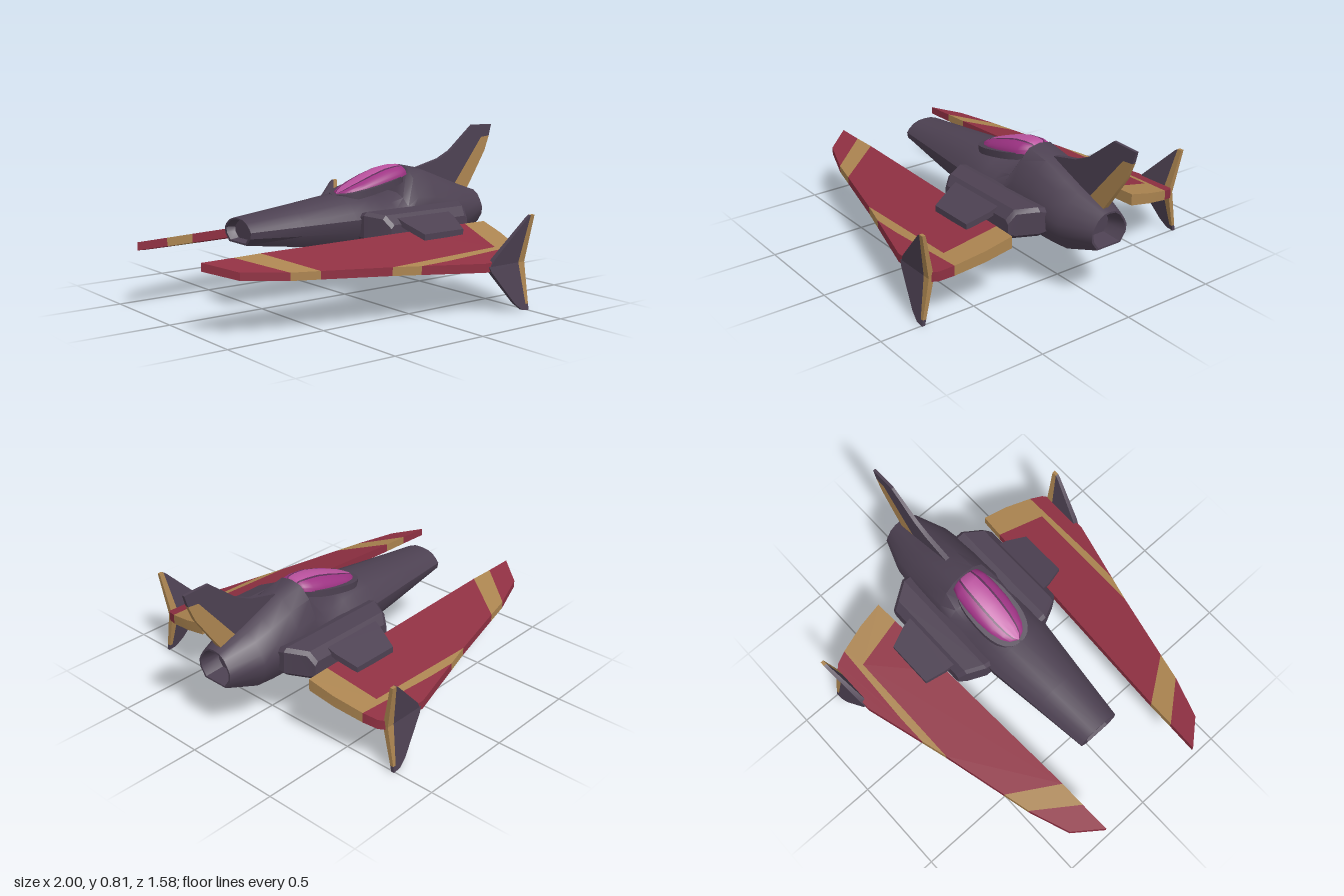
import * as THREE from 'three';
import { toCreasedNormals } from 'three/addons/utils/BufferGeometryUtils.js';

const paint = (name, color) => {
  const m = new THREE.MeshStandardMaterial({ color });
  m.name = name;
  return m;
};

// Skin over a list of rings, each a list of [x, y, z]
function loft(rings, closed = true, crease = 0.6) {
  const n = rings[0].length, index = [];
  for (let i = 0; i < rings.length - 1; i++) {
    for (let j = 0; j < (closed ? n : n - 1); j++) {
      const a = i * n + j, b = i * n + (j + 1) % n;
      index.push(a, b, a + n, b, b + n, a + n);
    }
  }
  const g = new THREE.BufferGeometry();
  g.setAttribute('position', new THREE.Float32BufferAttribute(rings.flat(2), 3));
  g.setIndex(index);
  return toCreasedNormals(g, crease);
}

// Flat outline given thickness, each corner (u, v, w = 0 or 1) placed by a rule
function slab(outline, place) {
  const shape = new THREE.Shape(outline.map(p => new THREE.Vector2(...p)));
  const g = new THREE.ExtrudeGeometry(shape, { depth: 1, bevelEnabled: false });
  const p = g.attributes.position;
  for (let i = 0; i < p.count; i++) p.setXYZ(i, ...place(p.getX(i), p.getY(i), p.getZ(i)));
  g.clearGroups();
  return toCreasedNormals(g, 0.5);
}

// Copy reflected across z = 0, with corner order restored
function mirrored(geo) {
  const g = geo.clone();
  for (const key of ['position', 'normal']) {
    const a = g.attributes[key], src = geo.attributes[key];
    for (let i = 0; i < a.count; i++) {
      const k = i - (i % 3) + [0, 2, 1][i % 3];
      a.setXYZ(i, src.getX(k), src.getY(k), -src.getZ(k));
    }
  }
  return g;
}

export function createModel() {
  const model = new THREE.Group();
  model.name = 'starfighter';
  const hull = paint('hull plum', 0x4d4152);
  const red = paint('wing red', 0x8f3042);
  const gold = paint('trim gold', 0xab8450);
  const glass = paint('canopy magenta', 0x9e3384);
  const shine = paint('canopy pink', 0xbb529f);
  const streak = paint('canopy streak', 0x5c2f58);

  const add = (name, geo, mat) => {
    const m = new THREE.Mesh(geo, mat);
    m.name = name;
    model.add(m);
  };
  const addPair = (name, geo, mat) => {
    add(name + 'Left', geo, mat);
    add(name + 'Right', mirrored(geo), mat);
  };

  // Fuselage: half section as fractions of width and height, mirrored into a ring
  const half = [[0, 1], [0.35, 0.95], [0.65, 0.72], [0.88, 0.32], [1, 0], [0.96, -0.45], [0.66, -1], [0, -1]];
  const section = [...half, ...half.slice(1, -1).reverse().map(([a, b]) => [-a, b])];
  const ring = ([x, w, bottom, mid, top], s = 1, cx = x) => section.map(([a, b]) =>
    [cx, mid + s * b * (b > 0 ? top - mid : mid - bottom), s * a * w]);
  // x, half width, bottom, widest height, top
  const stations = [
    [-0.63, 0.115, 0.335, 0.4, 0.455],
    [-0.35, 0.147, 0.3, 0.405, 0.485],
    [-0.06, 0.182, 0.27, 0.41, 0.518],
    [0.05, 0.185, 0.262, 0.41, 0.52],
    [0.12, 0.185, 0.26, 0.41, 0.507],
    [0.2, 0.185, 0.257, 0.41, 0.487],
    [0.28, 0.185, 0.255, 0.41, 0.51],
    [0.35, 0.18, 0.253, 0.41, 0.638],
    [0.47, 0.178, 0.252, 0.41, 0.612],
    [0.6, 0.175, 0.252, 0.4, 0.56],
    [0.69, 0.165, 0.254, 0.39, 0.525],
    [0.85, 0.105, 0.298, 0.38, 0.47],
  ];
  const nose = stations[0], tail = stations.at(-1);
  add('fuselage', loft([
    ring(nose, 0, -0.59), ring(nose, 0.75, -0.59), ring(nose, 0.87),
    ...stations.map(s => ring(s)),
    ring(tail, 0.9), ring(tail, 0.7, 0.76), ring(tail, 0, 0.76),
  ]), hull);

  // Canopy sill and bubble
  const sillY = x => 0.52 + 0.2 * (x + 0.05);
  const sill = [];
  for (let i = 0; i < 28; i++) {
    const a = (i / 28) * Math.PI * 2;
    const c = Math.cos(a), s = Math.sin(a);
    sill.push([0.14 + Math.sign(c) * Math.abs(c) ** 0.8 * 0.21, Math.sign(s) * Math.abs(s) ** 0.85 * 0.118]);
  }
  add('canopySill', slab(sill, (x, z, w) => [x, sillY(x) - 0.035 * w, z]), hull);

  // x, half width, top
  const bubble = [[-0.055, 0.004, 0.522], [-0.035, 0.045, 0.533], [0, 0.07, 0.552], [0.06, 0.09, 0.577],
    [0.14, 0.1, 0.608], [0.22, 0.1, 0.632], [0.29, 0.094, 0.641], [0.335, 0.08, 0.64], [0.35, 0.05, 0.62]];
  const pane = (from, to) => loft(bubble.map(([x, w, top]) => {
    const arc = [];
    for (let k = 0; k <= 6; k++) {
      const t = from + (to - from) * k / 6;
      arc.push([x, sillY(x) - 0.004 + (top - sillY(x) + 0.004) * Math.cos(t), w * Math.sin(t)]);
    }
    return arc;
  }), false, 1);
  add('canopyTop', pane(-0.42, 0.42), shine);
  addPair('canopyStreak', pane(0.42, 0.54), streak);
  addPair('canopySide', pane(0.54, Math.PI / 2), glass);

  // Shoulder nacelles: chamfered box rings stepping outward
  const boxRing = ([z, x0, x1, y0, y1], s = 1) => {
    const c = 0.018;
    const pts = [[x0 + c, y1], [x0, y1 - c], [x0, y0 + c], [x0 + c, y0],
      [x1 - c, y0], [x1, y0 + c], [x1, y1 - c], [x1 - c, y1]];
    const mx = (x0 + x1) / 2, my = (y0 + y1) / 2;
    return pts.map(([x, y]) => [mx + s * (x - mx), my + s * (y - my), z]);
  };
  const nacelle = [[0.1, -0.04, 0.61, 0.31, 0.42], [0.2, -0.035, 0.605, 0.305, 0.45],
    [0.29, 0.01, 0.545, 0.297, 0.44], [0.327, 0.035, 0.53, 0.305, 0.395]];
  addPair('nacelle', loft([...nacelle.map(r => boxRing(r)), boxRing(nacelle[3], 0)], true, 0.4), hull);

  // Sloping plates reaching from nacelle over the wing
  addPair('wingMount', slab([[0.09, 0.3], [0.1, 0.35], [0.135, 0.455], [0.385, 0.455], [0.42, 0.35], [0.425, 0.3]],
    (x, z, w) => [x, 0.42 - 0.42 * (z - 0.31) - 0.03 * w, z]), hull);

  // Wings: plan outlines cut along the colour borders
  const wingPoint = (x, z, w) => {
    const mid = 0.33 - 0.26 * (z - 0.33) + 0.02 * x;
    const thick = 0.026 + 0.007 * x - 0.015 * (z - 0.33);
    return [x, mid + thick * (1 - 2 * w), z];
  };
  const wing = [
    ['wingNose', red, [[-1, 0.295], [-0.84, 0.3], [-0.68, 0.505], [-0.89, 0.43]]],
    ['wingBand', gold, [[-0.84, 0.3], [-0.7, 0.302], [-0.54, 0.538], [-0.68, 0.505]]],
    ['wingPanel', red, [[-0.7, 0.302], [0.1, 0.34], [0.485, 0.358], [0.44, 0.62], [-0.2, 0.62], [-0.54, 0.538]]],
    ['wingTrim', gold, [[-0.2, 0.62], [0.44, 0.62], [0.485, 0.358], [0.61, 0.365], [0.595, 0.5],
      [0.56, 0.645], [0.1, 0.66], [-0.06, 0.658]]],
    ['wingTip', red, [[-0.06, 0.658], [0.1, 0.66], [0.56, 0.645], [0.535, 0.71], [0.5, 0.745], [0.26, 0.745]]],
  ];
  for (const [name, mat, outline] of wing) addPair(name, slab(outline, wingPoint), mat);

  // Winglets above and below the wing tips, leaning outward
  const wingletPoint = (x, y, w) => {
    const d = Math.abs(y - 0.23);
    return [x, y, 0.735 + 0.2 * d + (w - 0.5) * (0.028 - 0.05 * d)];
  };
  const winglets = [
    ['upperWinglet', hull, [[0.29, 0.23], [0.47, 0.23], [0.505, 0.46], [0.49, 0.45], [0.31, 0.265]]],
    ['upperWingletTrim', gold, [[0.47, 0.23], [0.51, 0.23], [0.53, 0.46], [0.505, 0.46]]],
    ['lowerWinglet', hull, [[0.28, 0.23], [0.47, 0.23], [0.49, 0.03], [0.507, 0.03], [0.507, 0], [0.465, 0.005], [0.42, 0.04], [0.29, 0.205]]],
    ['lowerWingletTrim', gold, [[0.47, 0.23], [0.51, 0.23], [0.507, 0.03], [0.49, 0.03]]],
  ];
  for (const [name, mat, outline] of winglets) addPair(name, slab(outline, wingletPoint), mat);

  // Tail fin, thinner toward the tip
  const finPoint = (x, y, w) => [x, y, (w - 0.5) * (0.03 - 0.05 * (y - 0.5))];
  add('tailFin', slab([[0.45, 0.5], [0.715, 0.49], [0.925, 0.745], [0.983, 0.75], [1, 0.81], [0.86, 0.815],
    [0.7, 0.685], [0.62, 0.648], [0.47, 0.613]], finPoint), hull);
  add('tailFinTrim', slab([[0.715, 0.49], [0.815, 0.47], [0.87, 0.55], [0.95, 0.67], [0.983, 0.75], [0.925, 0.745]], finPoint), gold);

  return model;
}
